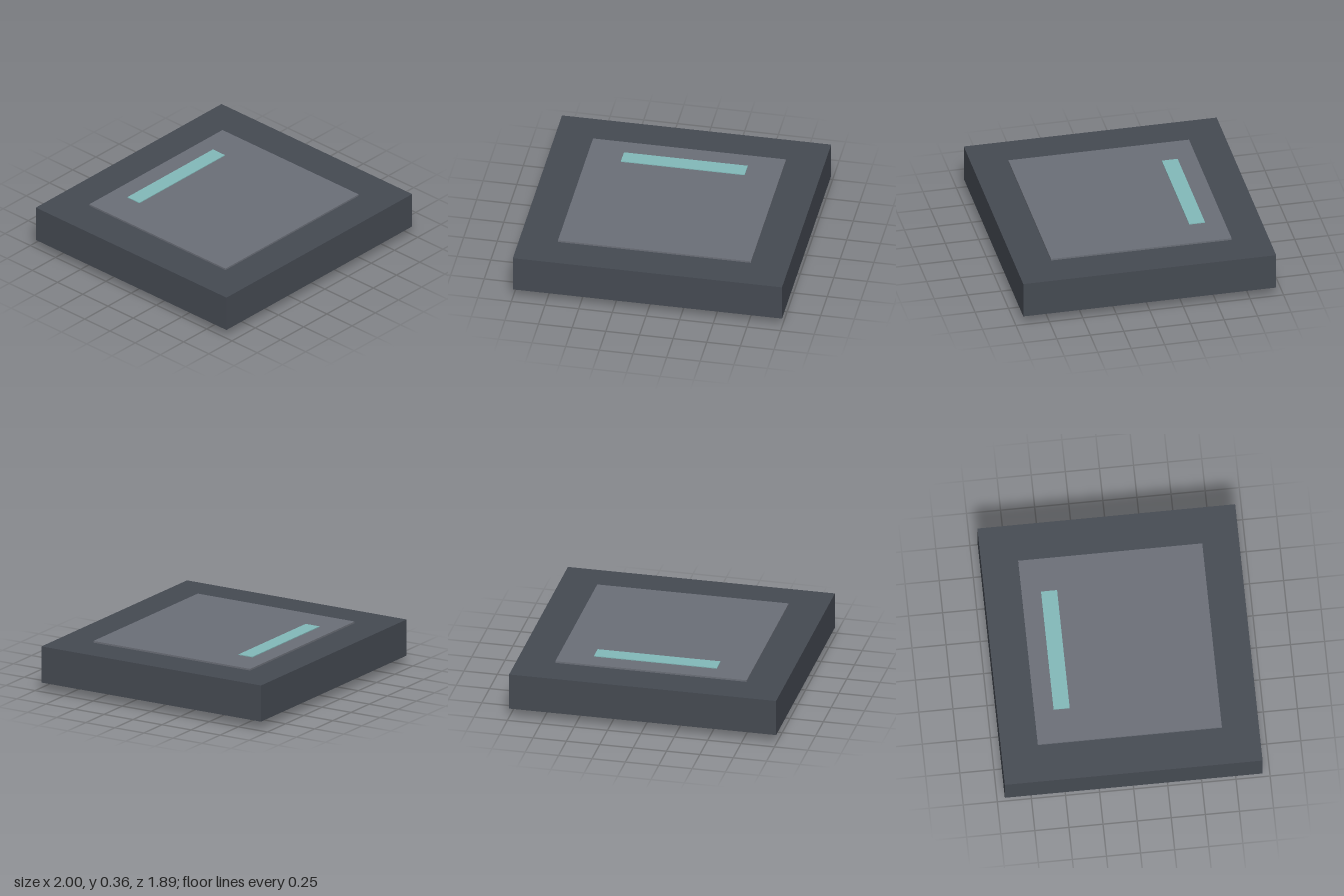
import * as THREE from 'three';

function material(name, color) {
  const m = new THREE.MeshStandardMaterial({ color });
  m.name = name;
  return m;
}

export function createModel() {
  const model = new THREE.Group();
  model.name = 'chipPackage';

  const charcoal = material('charcoal', 0x454a52);
  const grey = material('grey', 0x6b6f78);
  const teal = material('teal', 0x82b9b9);
  const metal = material('metal', 0xa4a6a8);

  // Box given by its width, depth, bottom and top heights and z centre
  function slab(name, mat, w, d, y0, y1, z = 0) {
    const mesh = new THREE.Mesh(new THREE.BoxGeometry(w, y1 - y0, d), mat);
    mesh.name = name;
    mesh.position.set(0, (y0 + y1) / 2, z);
    model.add(mesh);
  }

  slab('body', charcoal, 2, 1.89, 0.07, 0.345);
  slab('lid', grey, 1.434, 1.35, 0.345, 0.358);
  slab('markerStripe', teal, 0.92, 0.118, 0.358, 0.364, -0.474);

  // Seven by seven grid of contact pins under the body
  const pins = new THREE.Group();
  pins.name = 'pins';
  const pinGeometry = new THREE.CylinderGeometry(0.037, 0.037, 0.055, 8);
  for (let i = -3; i <= 3; i++) {
    for (let j = -3; j <= 3; j++) {
      const pin = new THREE.Mesh(pinGeometry, metal);
      pin.name = 'pin';
      pin.position.set(i * 0.23, 0.0275, j * 0.218);
      pins.add(pin);
    }
  }
  model.add(pins);

  return model;
}
